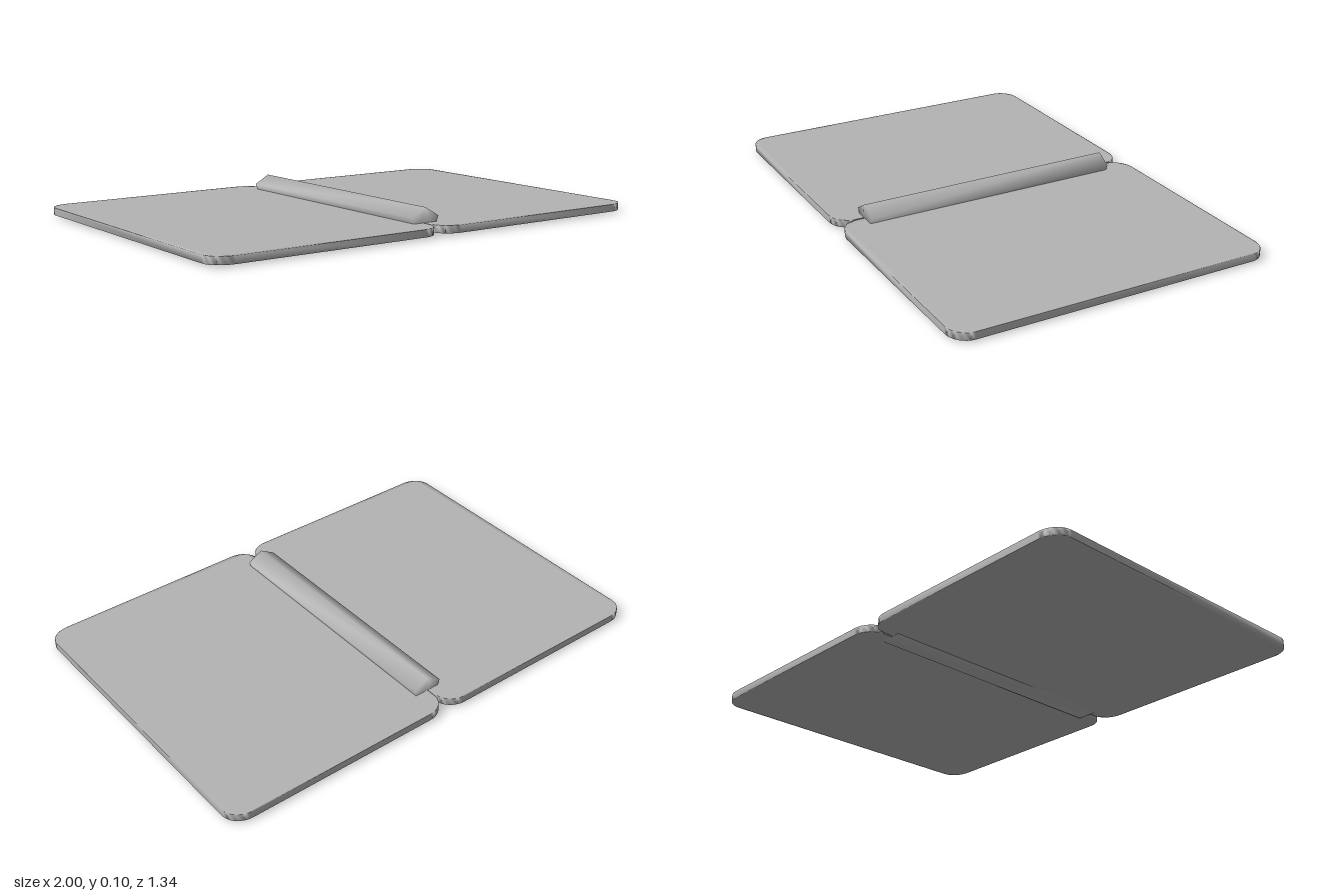
import * as THREE from 'three';
import { mergeVertices } from 'three/addons/utils/BufferGeometryUtils.js';

// Extrude a shape, then weld it so the shading runs softly over every edge
function softExtrude(shape, depth, curveSegments) {
  const geo = new THREE.ExtrudeGeometry(shape, { depth, bevelEnabled: false, curveSegments });
  geo.clearGroups();
  geo.deleteAttribute('normal');
  geo.deleteAttribute('uv');
  const welded = mergeVertices(geo, 1e-4);
  welded.computeVertexNormals();
  return welded;
}

// Rectangle centred on the origin with elliptical corners
function roundedPanel(w, h, rx, ry) {
  const x = w / 2 - rx, y = h / 2 - ry, q = Math.PI / 2;
  const s = new THREE.Shape();
  s.moveTo(w / 2, -y);
  s.absellipse(x, y, rx, ry, 0, q);
  s.absellipse(-x, y, rx, ry, q, 2 * q);
  s.absellipse(-x, -y, rx, ry, 2 * q, 3 * q);
  s.absellipse(x, -y, rx, ry, 3 * q, 4 * q);
  return s;
}

export function createModel() {
  const group = new THREE.Group();
  const grey = new THREE.MeshStandardMaterial({ color: 0xb3b3b3 });
  grey.name = 'grey';

  // Two flat leaves lying side by side
  const leafGeo = softExtrude(roundedPanel(0.997, 1.34, 0.085, 0.075), 0.03, 4);
  leafGeo.rotateX(-Math.PI / 2);
  for (const side of [-1, 1]) {
    const leaf = new THREE.Mesh(leafGeo, grey);
    leaf.name = side > 0 ? 'leftLeaf' : 'rightLeaf';
    leaf.position.set(side * 0.5015, 0.008, 0);
    group.add(leaf);
  }

  // Five-sided bar joining the leaves
  const corners = [];
  for (let i = 0; i < 5; i++) {
    const a = Math.PI / 2 + (i * 2 * Math.PI) / 5;
    corners.push(new THREE.Vector2(0.068 * Math.cos(a), 0.0545 * Math.sin(a)));
  }
  const hinge = new THREE.Mesh(softExtrude(new THREE.Shape(corners), 1.11, 1), grey);
  hinge.name = 'hingeBar';
  hinge.position.set(0.0065, 0.0441, -0.555);
  group.add(hinge);

  return group;
}
